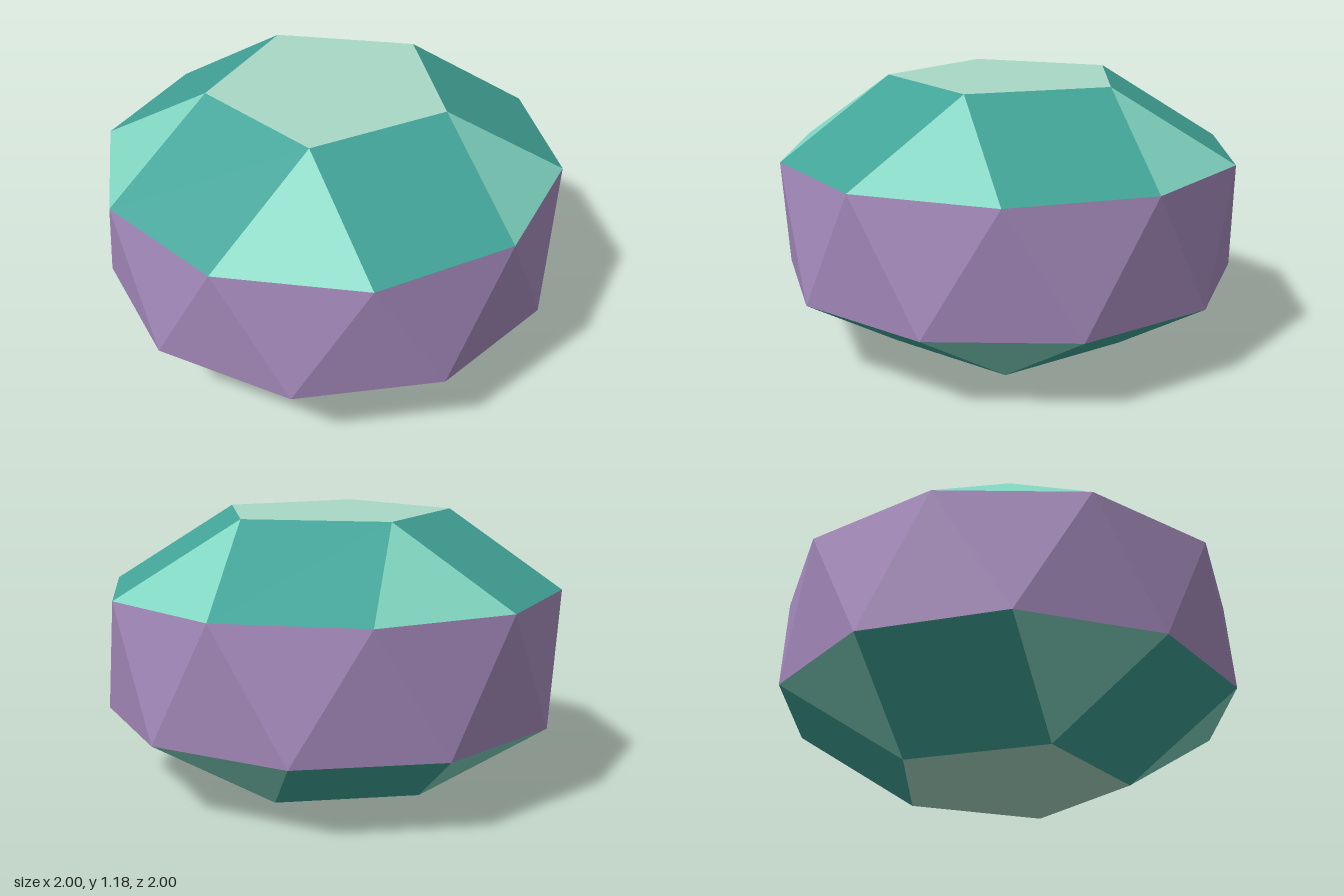
import * as THREE from 'three';

const RIM = 1, CAP = 0.5257;              // decagon and pentagon radii
const Y = [0, 0.325, 0.858, 1.183];       // base, lower rim, upper rim, top
const centre = new THREE.Vector3(0, Y[3] / 2, 0);

// Point on a horizontal ring; 90 degrees is the front
function ringPoint(radius, y, degrees) {
  const a = THREE.MathUtils.degToRad(degrees);
  return new THREE.Vector3(radius * Math.cos(a), y, radius * Math.sin(a));
}

// Flat convex faces, each turned to face away from the centre
function facetMesh(name, faces, material) {
  const points = [];
  for (const face of faces) {
    for (let i = 1; i < face.length - 1; i++) {
      const tri = [face[0], face[i], face[i + 1]];
      const normal = new THREE.Triangle(...tri).getNormal(new THREE.Vector3());
      if (normal.dot(face[0].clone().sub(centre)) < 0) tri.reverse();
      points.push(...tri);
    }
  }
  const geometry = new THREE.BufferGeometry().setFromPoints(points);
  geometry.computeVertexNormals();
  const mesh = new THREE.Mesh(geometry, material);
  mesh.name = name;
  return mesh;
}

function namedMaterial(name, color) {
  const material = new THREE.MeshStandardMaterial({ color });
  material.name = name;
  return material;
}

export function createModel() {
  const paleGreen = namedMaterial('paleGreen', 0xa8d8c6);
  const mint = namedMaterial('mint', 0x80d4c0);
  const teal = namedMaterial('teal', 0x42a397);
  const purple = namedMaterial('purple', 0xa68bbd);

  const model = new THREE.Group();
  model.name = 'facetedSolid';

  // Pentagon, five squares and five triangles at each end
  function addCupola(name, capY, rimY, start) {
    const pentagon = [], squares = [], triangles = [];
    for (let k = 0; k < 5; k++) {
      const a = start + k * 72;
      const corner = ringPoint(CAP, capY, a);
      const rim = (offset) => ringPoint(RIM, rimY, a + offset);
      pentagon.push(corner);
      triangles.push([corner, rim(-18), rim(18)]);
      squares.push([corner, ringPoint(CAP, capY, a + 72), rim(54), rim(18)]);
    }
    const cupola = new THREE.Group();
    cupola.name = name;
    cupola.add(
      facetMesh(name + 'Pentagon', [pentagon], paleGreen),
      facetMesh(name + 'Squares', squares, teal),
      facetMesh(name + 'Triangles', triangles, mint),
    );
    model.add(cupola);
  }
  addCupola('upperCupola', Y[3], Y[2], 54);
  addCupola('lowerCupola', Y[0], Y[1], 36);

  // Belt of alternating triangles between the two rims
  const belt = [];
  for (let k = 0; k < 10; k++) {
    const a = k * 36;
    const upper = ringPoint(RIM, Y[2], a), upperNext = ringPoint(RIM, Y[2], a + 36);
    const lower = ringPoint(RIM, Y[1], a + 18), lowerNext = ringPoint(RIM, Y[1], a + 54);
    belt.push([upper, upperNext, lower], [upperNext, lowerNext, lower]);
  }
  model.add(facetMesh('triangleBelt', belt, purple));

  return model;
}
